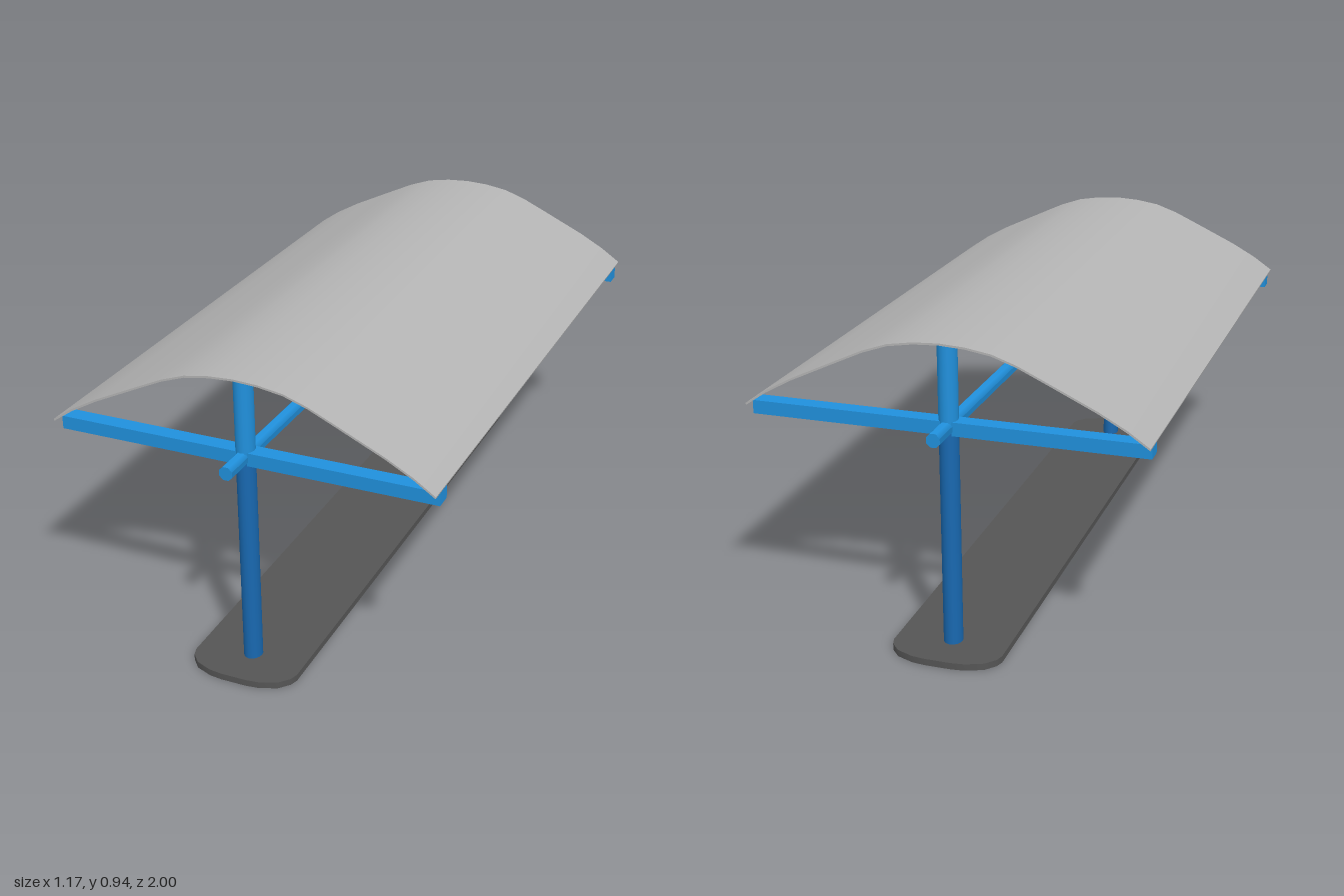
import * as THREE from 'three';
import { toCreasedNormals } from 'three/addons/utils/BufferGeometryUtils.js';

const blue = new THREE.MeshStandardMaterial({ color: 0x2090dc });
const darkBlue = new THREE.MeshStandardMaterial({ color: 0x1868b0 });
const darkGrey = new THREE.MeshStandardMaterial({ color: 0x555555 });
const grey = new THREE.MeshStandardMaterial({ color: 0xb4b4b4 });

function add(parent, name, geometry, material, x = 0, y = 0, z = 0) {
  const mesh = new THREE.Mesh(geometry, material);
  mesh.name = name;
  mesh.position.set(x, y, z);
  parent.add(mesh);
  return mesh;
}

// Vertical round post section between two heights, slightly oval
function postSection(y0, y1) {
  const g = new THREE.CylinderGeometry(0.03, 0.03, y1 - y0, 16);
  g.scale(0.92, 1, 1.06);
  g.translate(0, (y0 + y1) / 2, 0);
  return g;
}

// Long base slab with shallow rounded ends
function baseGeometry() {
  const end = [[0.165, 0.92], [0.157, 0.945], [0.13, 0.975], [0.08, 0.995], [0.04, 1]];
  const mirrored = end.map(([x, z]) => [-x, z]).reverse();
  const half = [...end, ...mirrored];
  const outline = [...half, ...half.map(([x, z]) => [-x, -z])];
  const shape = new THREE.Shape(outline.map(([x, z]) => new THREE.Vector2(x, z)));
  const g = new THREE.ExtrudeGeometry(shape, { depth: 0.02, bevelEnabled: false });
  g.rotateX(-Math.PI / 2);
  return toCreasedNormals(g, 0.6);
}

// Thin curved sheet, extruded along z
function canopyGeometry() {
  const side = [[0.583, 0.705], [0.52, 0.748], [0.44, 0.792], [0.3, 0.858],
    [0.22, 0.895], [0.148, 0.92], [0.073, 0.932]];
  const arch = [...side, [0, 0.936], ...side.map(([x, y]) => [-x, y]).reverse()];
  const under = arch.map(([x, y]) => [x * 0.998, y - 0.006]).reverse();
  const shape = new THREE.Shape([...arch, ...under].map(([x, y]) => new THREE.Vector2(x, y)));
  const g = new THREE.ExtrudeGeometry(shape, { depth: 1.865, bevelEnabled: false });
  g.translate(0, 0, -0.935);
  return toCreasedNormals(g, 0.6);
}

export function createModel() {
  const model = new THREE.Group();
  model.name = 'shelter';

  add(model, 'base', baseGeometry(), darkGrey);
  add(model, 'canopy', canopyGeometry(), grey);

  // Octagonal tube running lengthwise between the posts
  const tube = new THREE.CylinderGeometry(0.0215, 0.0215, 1.98, 8).toNonIndexed();
  tube.rotateY(Math.PI / 8);
  tube.rotateX(Math.PI / 2);
  add(model, 'ridgeTube', toCreasedNormals(tube, 0.9), blue, 0, 0.68, 0);

  // Post and crossbeam at each end
  for (const s of [1, -1]) {
    const frame = new THREE.Group();
    frame.name = s > 0 ? 'frontFrame' : 'backFrame';
    frame.position.z = s * 0.87;
    add(frame, 'lowerPost', postSection(0.015, 0.68), darkBlue);
    add(frame, 'upperPost', postSection(0.68, 0.921), blue);
    add(frame, 'crossbeam', new THREE.BoxGeometry(1.16, 0.04, 0.05), blue, 0.002, 0.68, 0);
    model.add(frame);
  }
  return model;
}
